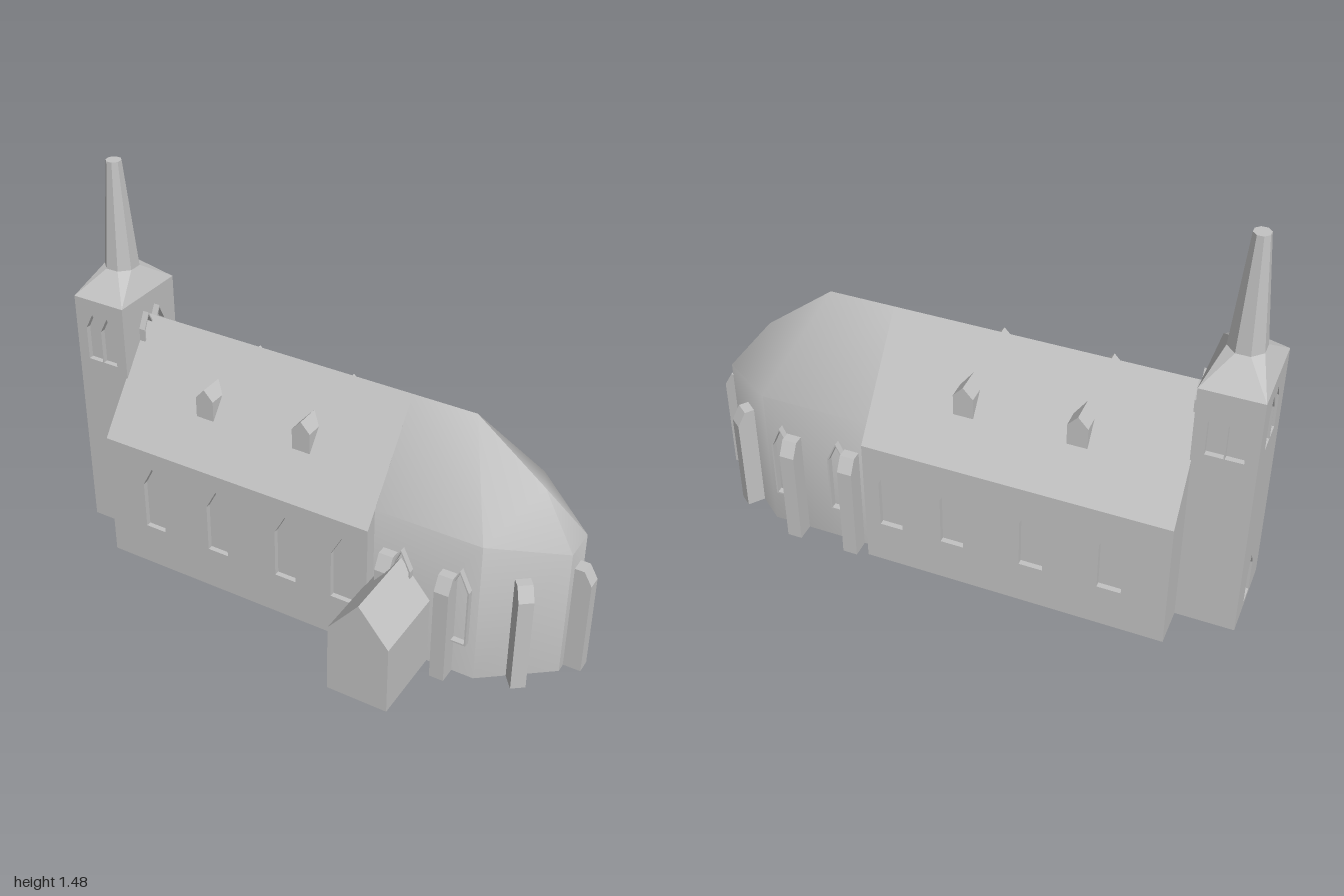
import * as THREE from 'three';
import { toCreasedNormals } from 'three/addons/utils/BufferGeometryUtils.js';
import { ConvexGeometry } from 'three/addons/geometries/ConvexGeometry.js';

const AXIS = -0.115; // z of the ridge line
const stone = new THREE.MeshStandardMaterial({ color: 0xc2c2c2 });
stone.name = 'pale stone';

function add(parent, name, geometry) {
  const mesh = new THREE.Mesh(geometry, stone);
  mesh.name = name;
  parent.add(mesh);
  return mesh;
}

function polygon(points, Type = THREE.Shape) {
  return new Type(points.map(([x, y]) => new THREE.Vector2(x, y)));
}

const extrude = (shape, depth) => new THREE.ExtrudeGeometry(shape, { depth, bevelEnabled: false });

// pointed outline: centre, width, sill, shoulder and peak heights
const pointed = (c, w, sill, shoulder, peak) => [
  [c - w / 2, sill], [c + w / 2, sill], [c + w / 2, shoulder], [c, peak], [c - w / 2, shoulder],
];

// flat wall pierced by pointed openings
function piercedWall(x0, x1, height, openings, depth) {
  const shape = polygon([[x0, 0], [x1, 0], [x1, height], [x0, height]]);
  for (const o of openings) shape.holes.push(polygon(pointed(...o), THREE.Path));
  return extrude(shape, depth);
}

// thin raised surround of a pointed window
function surround([c, w, sill, shoulder, peak], depth) {
  const shape = polygon(pointed(c, w, sill, shoulder, peak));
  shape.holes.push(polygon(pointed(c, w - 0.012, sill + 0.006, shoulder - 0.002, peak - 0.009), THREE.Path));
  return extrude(shape, depth);
}

function buildNave(body) {
  const nave = new THREE.Group();
  nave.name = 'nave';
  const section = polygon([
    [-0.277, 0], [0.277, 0], [0.277, 0.5], [0.297, 0.51],
    [0, 0.895], [-0.297, 0.51], [-0.277, 0.5],
  ]);
  const core = add(nave, 'naveRoofAndCore', extrude(section, 1.1));
  core.rotation.y = Math.PI / 2;
  core.position.x = -0.79;

  const windows = [-0.59, -0.31, -0.02, 0.21].map((x) => [x, 0.085, 0.17, 0.36, 0.44]);
  for (const side of [1, -1]) {
    const wall = add(nave, 'naveWall', piercedWall(-0.79, 0.31, 0.51, windows, 0.02));
    wall.position.z = side > 0 ? 0.277 : -0.297;
    // dormers on each roof slope
    for (const x of [-0.42, -0.02]) {
      const dormer = add(nave, 'dormer', extrude(polygon(pointed(x, 0.072, 0.655, 0.735, 0.775)), 0.1));
      dormer.position.z = side > 0 ? 0.085 : -0.185;
    }
  }
  body.add(nave);
}

function buildChoir(body) {
  const choir = new THREE.Group();
  choir.name = 'choir';
  // walls and faceted apse roof
  const points = [[0.55, 0.895, 0], [0.3, 0.895, 0], [0.81, 0.69, 0]];
  for (const s of [1, -1]) {
    for (const [x, eaves, z] of [[0.3, 0.57, 0.25], [0.71, 0.57, 0.25], [0.95, 0.51, 0.064]]) {
      points.push([x, 0, s * z], [x, eaves, s * z]);
    }
  }
  const shell = new ConvexGeometry(points.map((p) => new THREE.Vector3(...p)));
  add(choir, 'choirShell', toCreasedNormals(shell, 0.9));

  // buttresses with a sloped outer top edge
  const profile = polygon([[-0.04, 0], [0.065, 0], [0.065, 0.375], [0.035, 0.428], [-0.04, 0.428]]);
  const diagonal = Math.atan2(0.24, 0.186);
  const spots = [[0.95, 0, 0]];
  for (const s of [1, -1]) {
    spots.push([0.375, s * 0.25, s * Math.PI / 2]);
    spots.push([0.6, s * 0.25, s * Math.PI / 2]);
    spots.push([0.823, s * 0.163, s * diagonal]);
  }
  for (const [x, z, angle] of spots) {
    const geometry = extrude(profile, 0.054).translate(0, 0, -0.027);
    const buttress = add(choir, 'buttress', geometry);
    buttress.position.set(x, 0, z);
    buttress.rotation.y = -angle;
  }

  // raised window surrounds
  for (const x of [0.425, 0.645]) {
    for (const s of [1, -1]) {
      const frame = add(choir, 'choirWindow', surround([x, 0.075, 0.15, 0.38, 0.46], 0.024));
      frame.position.z = s > 0 ? 0.249 : -0.273;
    }
  }
  body.add(choir);
}

function buildTower(body) {
  const tower = new THREE.Group();
  tower.name = 'tower';
  tower.position.x = -0.8925;
  const hx = 0.1075, hz = 0.155, t = 0.02, top = 0.98;
  const core = add(tower, 'towerCore', new THREE.BoxGeometry(2 * (hx - t), top, 2 * (hz - t)));
  core.position.y = top / 2;

  // four walls with paired belfry openings, and a west door
  const pair = [-0.033, 0.033].map((x) => [x, 0.062, 0.73, 0.86, 0.92]);
  const door = [0, 0.07, 0.02, 0.15, 0.22];
  for (let i = 0; i < 4; i++) {
    const alongX = i % 2 === 0;
    const half = alongX ? hx : hz;
    const openings = i === 1 ? [] : i === 3 ? [...pair, door] : pair;
    const geometry = piercedWall(-half, half, top, openings, t);
    geometry.translate(0, 0, (alongX ? hz : hx) - t);
    add(tower, 'towerWall', geometry).rotation.y = i * Math.PI / 2;
  }
  // raised openings above the nave roof
  for (const opening of pair) {
    const frame = add(tower, 'belfryWindow', surround(opening, 0.024));
    frame.rotation.y = Math.PI / 2;
    frame.position.x = hx;
  }

  // cap narrowing from a square to the octagonal spire
  const points = [];
  for (const x of [-hx, hx]) for (const z of [-hz, hz]) points.push(new THREE.Vector3(x, top, z));
  for (let i = 0; i < 8; i++) {
    const a = (i + 0.5) * Math.PI / 4;
    points.push(new THREE.Vector3(0.065 * Math.sin(a), 1.07, 0.065 * Math.cos(a)));
  }
  add(tower, 'towerCap', new ConvexGeometry(points));
  const spireGeometry = new THREE.CylinderGeometry(0.029, 0.065, 0.405, 8).toNonIndexed();
  spireGeometry.rotateY(Math.PI / 8);
  spireGeometry.computeVertexNormals();
  add(tower, 'spire', spireGeometry).position.y = 1.2725;
  body.add(tower);
}

export function createModel() {
  const church = new THREE.Group();
  church.name = 'church';
  const body = new THREE.Group();
  body.name = 'churchBody';
  body.position.z = AXIS;
  church.add(body);
  buildNave(body);
  buildChoir(body);
  buildTower(body);

  // gabled side porch
  const porch = add(church, 'porch', extrude(polygon(pointed(0.415, 0.23, 0, 0.27, 0.41)), 0.31));
  porch.position.z = 0.12;
  // apse buttress reaches slightly past x = 1
  church.position.x = -0.0075;
  return church;
}
